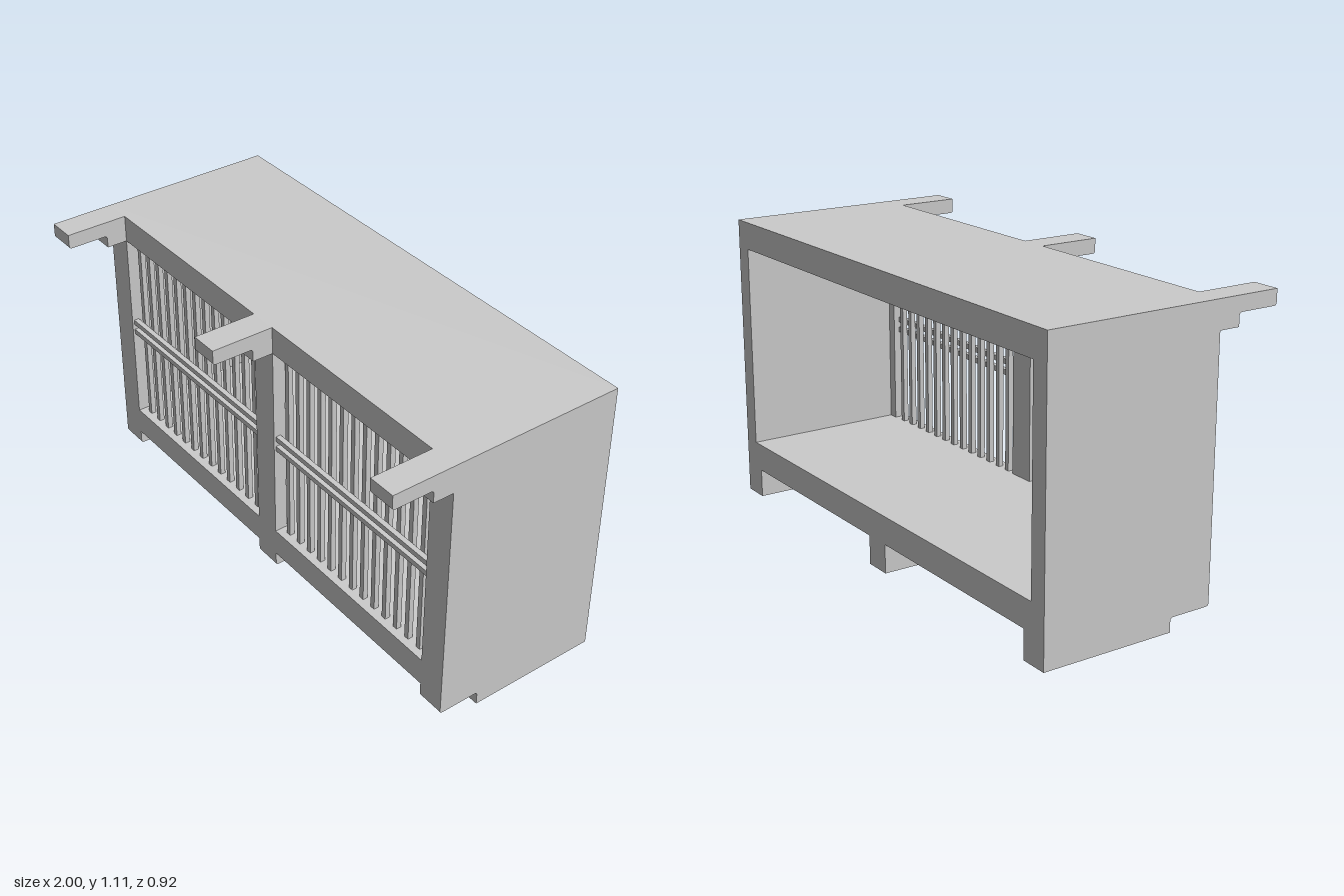
import * as THREE from 'three';

const material = new THREE.MeshStandardMaterial({ color: 0xcccccc, flatShading: true });

// Box given by its min/max on each axis
function box(name, [x0, x1], [y0, y1], [z0, z1]) {
  const mesh = new THREE.Mesh(new THREE.BoxGeometry(x1 - x0, y1 - y0, z1 - z0), material);
  mesh.name = name;
  mesh.position.set((x0 + x1) / 2, (y0 + y1) / 2, (z0 + z1) / 2);
  return mesh;
}

// Stepped beam: side profile in (z, y) with a rounded nose and filleted step, extruded across x
function steppedBeam(name, x, width, back, step, tip, bottom, mid, top) {
  const r = 0.012;
  const s = new THREE.Shape();
  s.moveTo(back, bottom);
  s.lineTo(step, bottom);
  s.lineTo(step, mid - r);
  s.quadraticCurveTo(step, mid, step + r, mid);
  s.lineTo(tip - r, mid);
  s.quadraticCurveTo(tip, mid, tip, mid + r);
  s.lineTo(tip, top);
  s.lineTo(back, top);
  const geometry = new THREE.ExtrudeGeometry(s, { depth: width, bevelEnabled: false, curveSegments: 5 });
  geometry.translate(0, 0, -width / 2);
  geometry.rotateY(-Math.PI / 2);
  const mesh = new THREE.Mesh(geometry, material);
  mesh.name = name;
  mesh.position.x = x;
  return mesh;
}

export function createModel() {
  const model = new THREE.Group();
  model.name = 'barredCrate';

  const back = -0.46, front = 0.22, panelBack = 0.17;
  const floorY = 0.11, sillY = 0.217, ceilingY = 1.0, topY = 1.105;
  const post = 0.107, wall = 0.07;

  // Shell, open at the back
  model.add(box('floor', [-1, 1], [floorY, sillY], [back, front]));
  model.add(box('roof', [-1, 1], [ceilingY, topY], [back, front]));
  for (const side of [-1, 1]) {
    const xs = side < 0 ? [-1, -1 + wall] : [1 - wall, 1];
    model.add(box(side < 0 ? 'rightWall' : 'leftWall', xs, [sillY, ceilingY], [back, front]));
  }

  // Front posts, each with a leg below and an overhanging bracket above
  for (const x of [-1 + post / 2, 0, 1 - post / 2]) {
    model.add(box('frontPost', [x - post / 2, x + post / 2], [sillY, ceilingY], [panelBack, front]));
    model.add(steppedBeam('leg', x, post, back, 0.055, front, 0, 0.053, floorY));
    model.add(steppedBeam('roofBracket', x, post, front, 0.3, 0.46, ceilingY, 1.048, topY));
  }

  // Barred bays: upright bars with two crossing rails in front
  const bays = [
    { range: [-1 + post, -post / 2], first: -0.853 },
    { range: [post / 2, 1 - post], first: 0.095 },
  ];
  for (const { range, first } of bays) {
    const bay = new THREE.Group();
    bay.name = 'barredBay';
    for (let i = 0; i < 13; i++) {
      const x = first + i * 0.062;
      bay.add(box('bar', [x - 0.01, x + 0.01], [sillY, ceilingY], [0.172, 0.192]));
    }
    for (const y of [0.592, 0.634]) {
      bay.add(box('rail', range, [y - 0.01, y + 0.01], [0.192, 0.212]));
    }
    model.add(bay);
  }
  return model;
}
